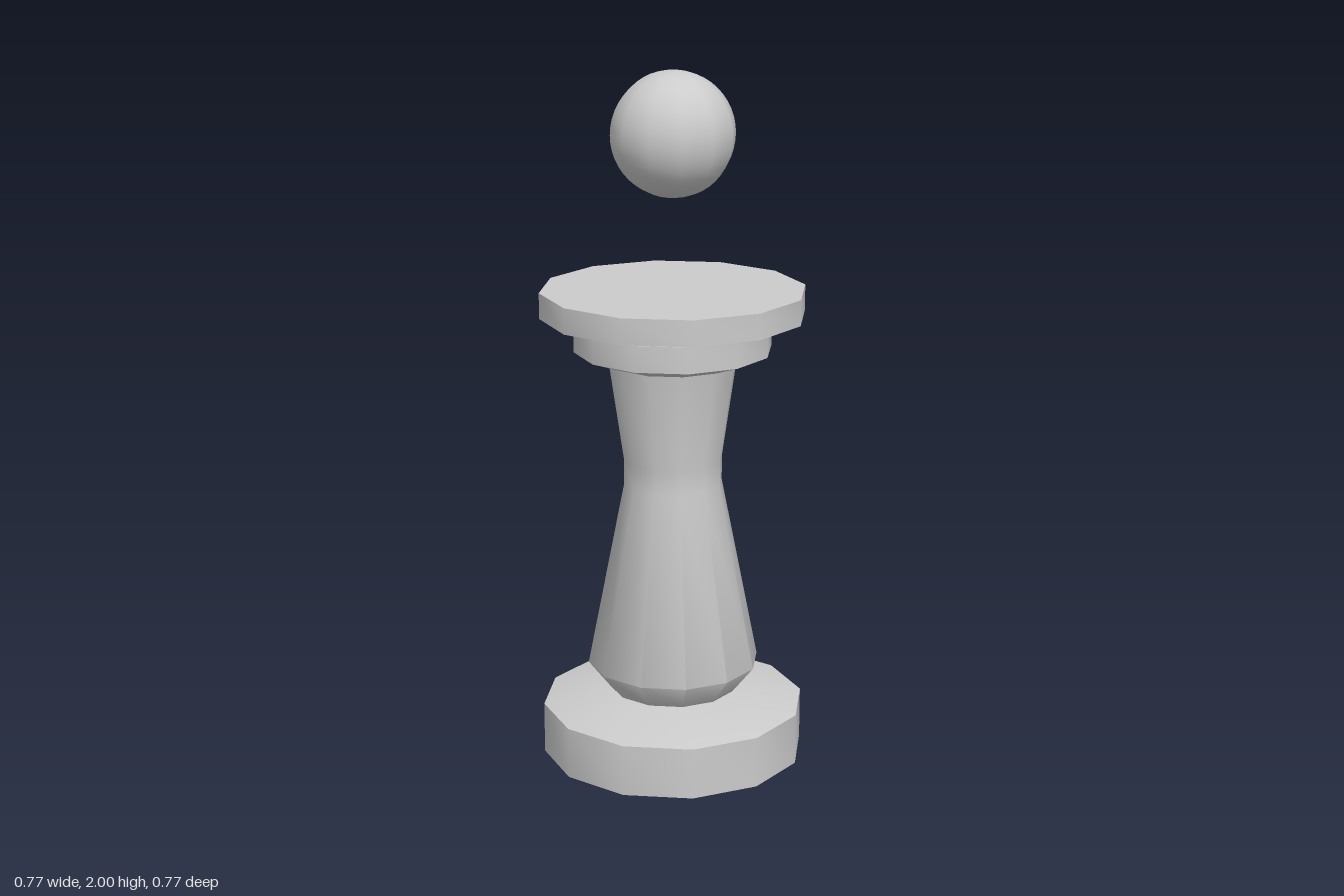
import * as THREE from 'three';
import { toCreasedNormals } from 'three/addons/utils/BufferGeometryUtils.js';

const SIDES = 12;
const grey = new THREE.MeshStandardMaterial({ color: 0xcccccc });

// Twelve-sided turned part from [radius, height] pairs, listed bottom to top
function turned(name, profile, creaseDegrees = 35) {
  const points = profile.map(([r, y]) => new THREE.Vector2(r, y));
  const geometry = new THREE.LatheGeometry(points, SIDES);
  const mesh = new THREE.Mesh(toCreasedNormals(geometry, THREE.MathUtils.degToRad(creaseDegrees)), grey);
  mesh.name = name;
  return mesh;
}

export function createModel() {
  const model = new THREE.Group();
  model.name = 'pedestal';

  // Wide foot with a shallow sloping top
  model.add(turned('base', [[0, 0], [0.383, 0], [0.383, 0.15], [0.187, 0.195], [0, 0.195]]));

  // Waisted shaft, smooth along its length
  model.add(turned('shaft', [[0.187, 0.195], [0.25, 0.275], [0.142, 0.82], [0.142, 0.89], [0.185, 1.185]], 55));

  // Stepped capital
  model.add(turned('collar', [[0, 1.18], [0.19, 1.18], [0.283, 1.213], [0.283, 1.288], [0, 1.288]]));
  model.add(turned('topPlate', [[0, 1.287], [0.24, 1.287], [0.379, 1.313], [0.379, 1.387], [0, 1.387]]));

  // Ball floating above the plate
  const ball = new THREE.Mesh(new THREE.SphereGeometry(0.176, SIDES, 24), grey);
  ball.name = 'ball';
  ball.position.y = 1.824;
  model.add(ball);

  return model;
}
